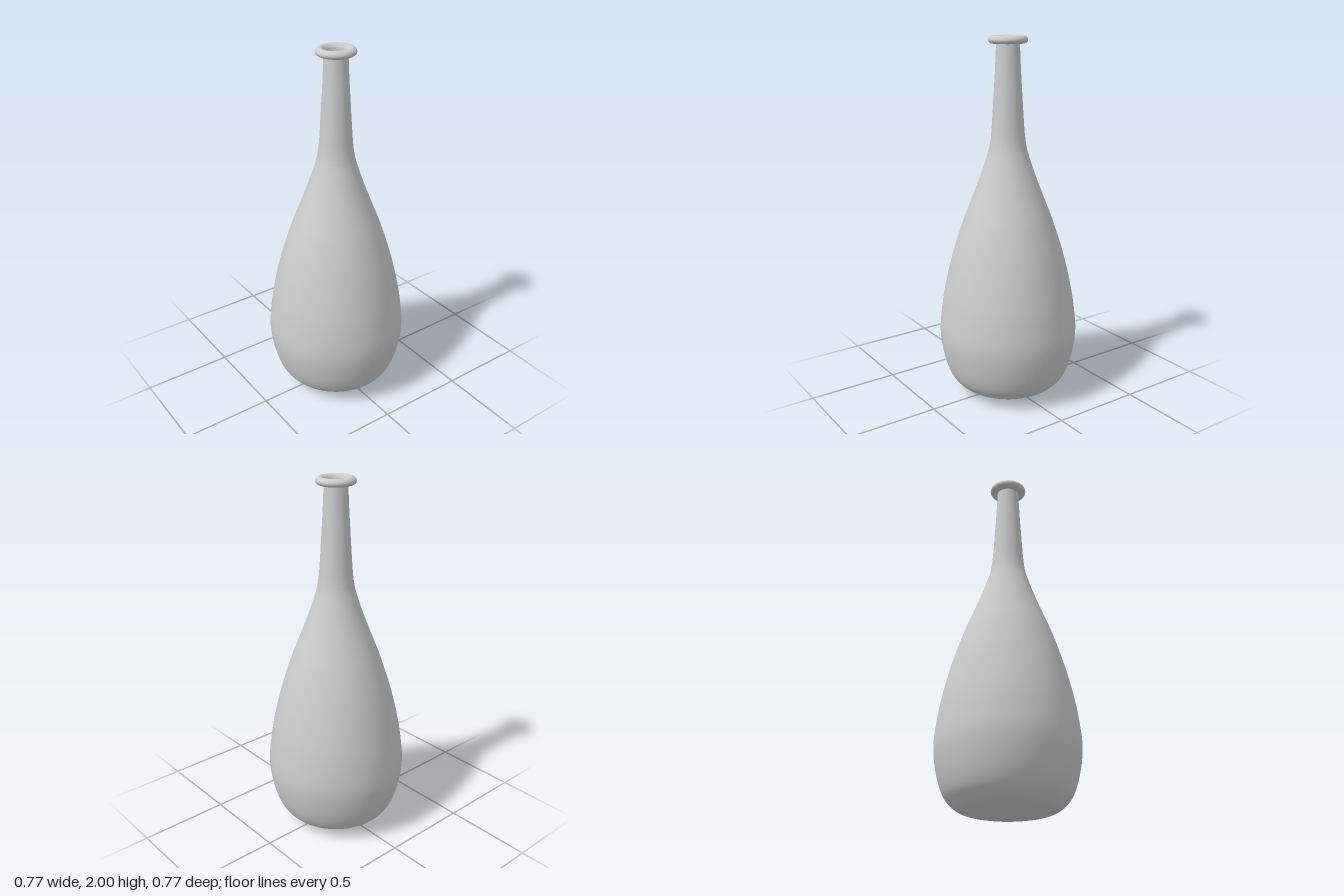
import * as THREE from 'three';

const SIDES = 64;
const toPoints = (pairs) => pairs.map(([x, y]) => new THREE.Vector2(x, y));
const smooth = (pairs, count) => new THREE.SplineCurve(toPoints(pairs)).getPoints(count);

export function createModel() {
  const group = new THREE.Group();
  group.name = 'bottle';
  const material = new THREE.MeshStandardMaterial({ color: 0xcccccc });

  function lathe(name, points) {
    const mesh = new THREE.Mesh(new THREE.LatheGeometry(points, SIDES), material);
    mesh.name = name;
    group.add(mesh);
  }

  // Shallow pointed underside
  lathe('base', toPoints([[0, 0.005], [0.07, 0.017], [0.14, 0.029], [0.22, 0.038]]));

  // Pear-shaped body, running up into the shoulder
  lathe('body', smooth([
    [0.22, 0.038], [0.26, 0.05], [0.3, 0.08], [0.335, 0.13], [0.365, 0.22],
    [0.385, 0.35], [0.378, 0.47], [0.355, 0.62], [0.31, 0.81], [0.25, 1.0],
    [0.2, 1.13], [0.15, 1.26], [0.11, 1.38], [0.098, 1.43],
  ], 60));

  // Slim tapering neck
  lathe('neck', smooth([
    [0.098, 1.43], [0.089, 1.5], [0.077, 1.68], [0.067, 1.85], [0.062, 1.97],
  ], 16));

  // Rounded lip
  lathe('lip', smooth([
    [0.06, 1.958], [0.085, 1.959], [0.1, 1.966], [0.105, 1.978],
    [0.1, 1.991], [0.085, 2.0], [0.07, 1.996], [0.06, 1.982],
  ], 28));

  // Inside wall and floor, facing inward
  lathe('inside', smooth([
    [0.06, 1.982], [0.055, 1.95], [0.046, 1.85], [0.04, 1.7], [0.05, 1.55],
    [0.075, 1.43], [0.13, 1.25], [0.23, 1.0], [0.33, 0.65], [0.362, 0.36],
    [0.33, 0.17], [0.25, 0.08], [0, 0.05],
  ], 60));

  return group;
}
